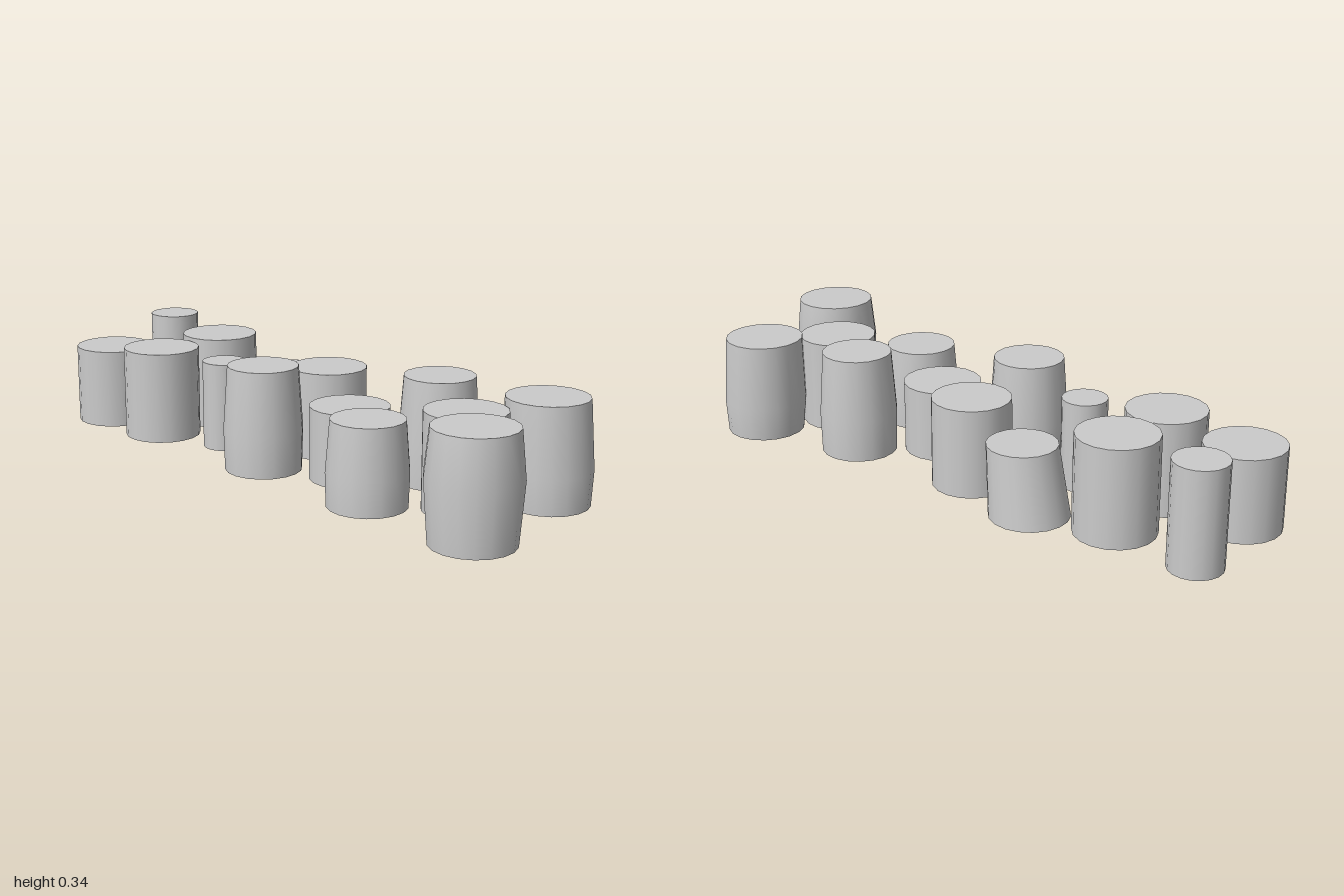
import * as THREE from 'three';

const SIDES = 18;

// x, z, height, base radius, middle radius, top radius, height share of the middle ring, lean of the top in x
const POSTS = [
  [-0.89, -0.24, 0.335, 0.085, 0.085, 0.085, 0.5, 0],
  [-0.87, 0.07, 0.268, 0.128, 0.128, 0.128, 0.5, 0],
  [-0.585, -0.18, 0.315, 0.13, 0.13, 0.129, 0.5, 0],
  [-0.595, 0.085, 0.306, 0.128, 0.128, 0.128, 0.5, 0],
  [-0.318, -0.24, 0.228, 0.127, 0.119, 0.111, 0.5, 0.028],
  [-0.33, -0.04 + 0.08, 0.294, 0.073, 0.073, 0.073, 0.5, 0],
  [-0.055, 0.132, 0.341, 0.124, 0.128, 0.114, 0.4, 0],
  [-0.037, -0.155, 0.29, 0.128, 0.128, 0.127, 0.5, 0],
  [0.21, 0.015, 0.236, 0.128, 0.128, 0.128, 0.5, 0],
  [0.43, 0.18, 0.27, 0.125, 0.128, 0.115, 0.4, 0],
  [0.43, -0.155, 0.341, 0.125, 0.128, 0.113, 0.4, 0],
  [0.66, 0.01, 0.306, 0.128, 0.128, 0.128, 0.5, 0],
  [0.807, -0.208, 0.33, 0.129, 0.138, 0.128, 0.34, -0.012],
  [0.857, 0.224, 0.341, 0.129, 0.143, 0.128, 0.57, 0],
];

const material = new THREE.MeshStandardMaterial({ color: 0xcccccc, side: THREE.DoubleSide });

function makePost([x, z, h, rBase, rMid, rTop, mid, lean]) {
  const post = new THREE.Group();
  post.name = 'post';

  // Side wall, open underneath, sheared sideways when the post leans
  const profile = [[rBase, 0], [rMid, h * mid], [rTop, h]].map(([r, y]) => new THREE.Vector2(r, y));
  const wall = new THREE.LatheGeometry(profile, SIDES);
  wall.applyMatrix4(new THREE.Matrix4().makeShear(0, 0, lean / h, 0, 0, 0));
  const side = new THREE.Mesh(wall, material);
  side.name = 'postSide';

  // Flat top
  const disc = new THREE.CircleGeometry(rTop, SIDES, Math.PI / 2);
  disc.rotateX(-Math.PI / 2).translate(lean, h, 0);
  const top = new THREE.Mesh(disc, material);
  top.name = 'postTop';

  post.add(side, top);
  post.position.set(x, 0, z);
  return post;
}

export function createModel() {
  const model = new THREE.Group();
  model.name = 'postCluster';
  for (const p of POSTS) model.add(makePost(p));
  return model;
}
